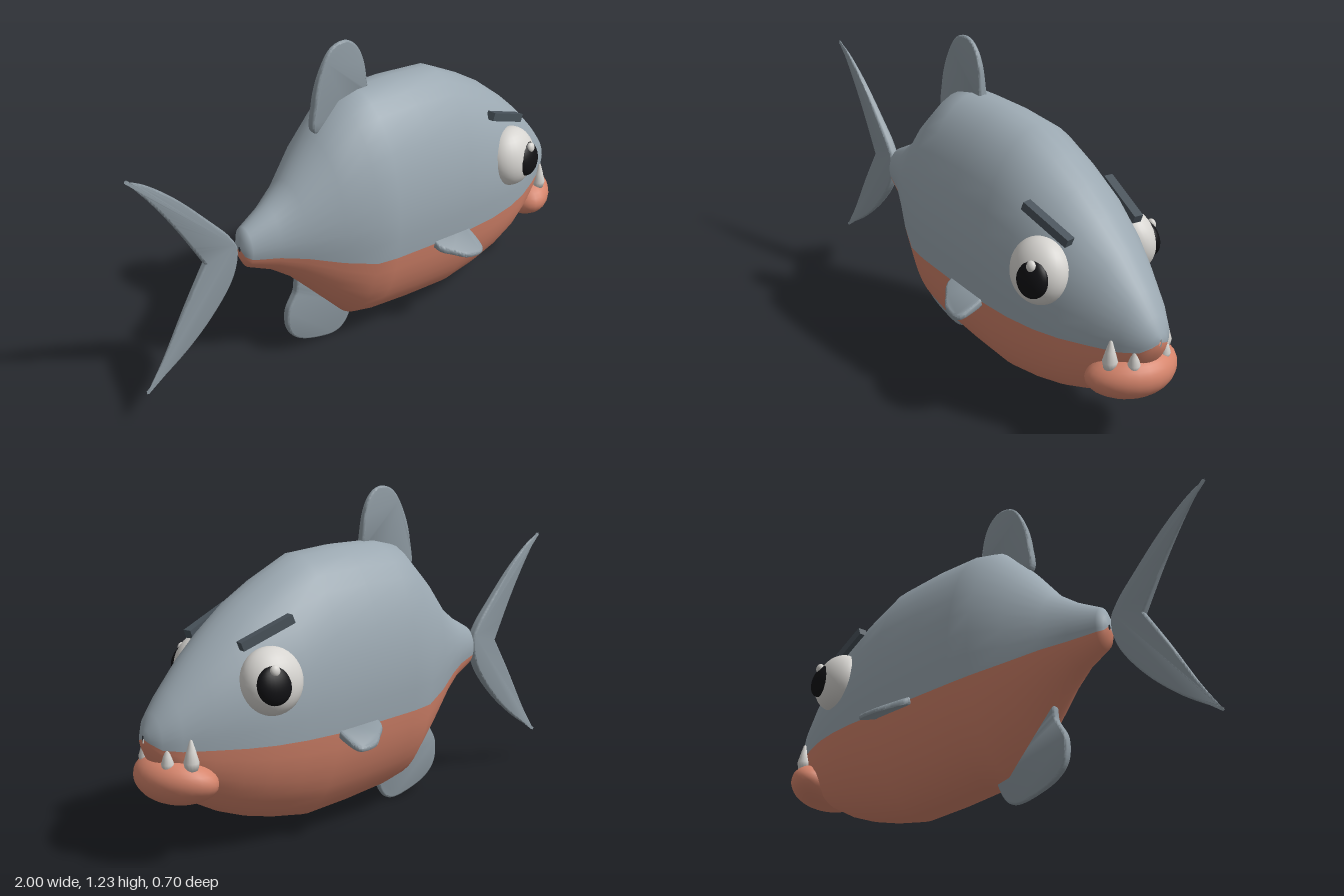
import * as THREE from 'three';
import { toCreasedNormals } from 'three/addons/utils/BufferGeometryUtils.js';

const mat = (color, side = THREE.FrontSide) => new THREE.MeshStandardMaterial({ color, side });
const M = {
  back: mat(0x9ba8b1), belly: mat(0xd5846b), fin: mat(0x8c98a0, THREE.DoubleSide),
  brow: mat(0x48525a), white: mat(0xd6d4d0), black: mat(0x111114),
};

// Body stations: x, bottom, top, half width, height of the colour line
const STATIONS = [
  [-0.572, 0.555, 0.575, 0.006, 0.565], [-0.568, 0.52, 0.61, 0.032, 0.545], [-0.55, 0.485, 0.648, 0.055, 0.535],
  [-0.45, 0.435, 0.70, 0.09, 0.518], [-0.36, 0.365, 0.765, 0.135, 0.498], [-0.24, 0.235, 0.905, 0.2, 0.46],
  [-0.12, 0.105, 1.02, 0.25, 0.43], [-0.03, 0.082, 1.04, 0.259, 0.422], [0.15, 0.06, 1.038, 0.263, 0.412],
  [0.34, 0.045, 1.02, 0.263, 0.402], [0.48, 0.068, 0.95, 0.255, 0.4], [0.6, 0.098, 0.878, 0.235, 0.4],
  [0.7, 0.135, 0.8, 0.205, 0.402], [0.8, 0.188, 0.71, 0.16, 0.405], [0.9, 0.28, 0.6, 0.11, 0.408],
  [0.955, 0.355, 0.53, 0.07, 0.415], [0.98, 0.4, 0.48, 0.035, 0.435], [0.986, 0.43, 0.46, 0.006, 0.445],
];

function add(parent, name, geometry, material) {
  const mesh = new THREE.Mesh(geometry, material);
  mesh.name = name;
  parent.add(mesh);
  return mesh;
}

// Part of the oval body skin above or below the colour line
function skin(upper, sides = 20) {
  const pos = [], index = [];
  for (const [x, lo, hi, w, line] of STATIONS) {
    const c = (lo + hi) / 2, ry = (hi - lo) / 2;
    const a = Math.asin(THREE.MathUtils.clamp((line - c) / ry, -1, 1));
    const from = upper ? a : Math.PI - a;
    const to = upper ? Math.PI - a : Math.PI * 2 + a;
    for (let j = 0; j <= sides; j++) {
      const t = from + (to - from) * j / sides;
      pos.push(x, c + ry * Math.sin(t), w * Math.cos(t));
    }
  }
  const n = sides + 1;
  for (let i = 0; i < STATIONS.length - 1; i++) {
    for (let j = 0; j < sides; j++) {
      const a = i * n + j, b = a + n;
      index.push(a, b, b + 1, a, b + 1, a + 1);
    }
  }
  const g = new THREE.BufferGeometry();
  g.setAttribute('position', new THREE.Float32BufferAttribute(pos, 3));
  g.setIndex(index);
  g.computeVertexNormals();
  return g;
}

// Fin from spline runs; taper(x, y) scales the thickness
function finGeometry(runs, thickness, taper) {
  const shape = new THREE.Shape();
  shape.moveTo(...runs[0][0]);
  runs.forEach((run, i) => {
    const pts = (i ? run : run.slice(1)).map(p => new THREE.Vector2(...p));
    shape.splineThru(pts);
  });
  const bevel = thickness * 0.3;
  const g = new THREE.ExtrudeGeometry(shape, {
    depth: thickness - 2 * bevel, curveSegments: 16, bevelEnabled: true,
    bevelThickness: bevel, bevelSize: 0.007, bevelOffset: -0.007, bevelSegments: 2,
  });
  g.translate(0, 0, -(thickness - 2 * bevel) / 2);
  const p = g.attributes.position;
  for (let i = 0; i < p.count; i++) p.setZ(i, p.getZ(i) * taper(p.getX(i), p.getY(i)));
  return toCreasedNormals(g, 0.8);
}

function ellipsoid(rx, ry, rz) {
  return new THREE.SphereGeometry(1, 28, 18).scale(rx, ry, rz);
}

export function createModel() {
  const fish = new THREE.Group();
  fish.name = 'fish';
  add(fish, 'upperBody', skin(true), M.back);
  add(fish, 'lowerBody', skin(false), M.belly);

  // Fins on the centre line
  const clamp = THREE.MathUtils.clamp;
  add(fish, 'tailFin', finGeometry([
    [[-1, 1], [-0.92, 0.955], [-0.81, 0.86], [-0.69, 0.73], [-0.615, 0.64], [-0.588, 0.57],
      [-0.62, 0.46], [-0.72, 0.335], [-0.85, 0.225], [-1, 0.133]],
    [[-0.92, 0.25], [-0.82, 0.42], [-0.725, 0.57]],
    [[-0.82, 0.74], [-0.91, 0.88], [-1, 1]],
  ], 0.038, x => clamp((x + 1.04) / 0.4, 0.15, 1)), M.fin);
  add(fish, 'dorsalFin', finGeometry([
    [[-0.1, 0.92], [-0.228, 0.92], [-0.226, 1.03], [-0.2, 1.13], [-0.15, 1.215], [-0.085, 1.238],
      [-0.03, 1.21], [0.005, 1.14], [0.022, 1.02]],
    [[-0.1, 0.92]],
  ], 0.034, (x, y) => clamp(1 - (y - 1.04) * 2.8, 0.4, 1)), M.fin);
  add(fish, 'analFin', finGeometry([
    [[-0.1, 0.25], [-0.3, 0.35], [-0.335, 0.275], [-0.375, 0.2], [-0.368, 0.11], [-0.31, 0.05],
      [-0.2, 0.01], [-0.13, 0.006], [-0.085, 0.04], [-0.05, 0.12]],
    [[-0.1, 0.25]],
  ], 0.034, (x, y) => clamp(0.5 + y * 4, 0.5, 1)), M.fin);

  // Bulging lower lip, its ends swept back
  const lip = ellipsoid(0.12, 0.09, 0.182);
  const lp = lip.attributes.position;
  for (let i = 0; i < lp.count; i++) {
    const x = lp.getX(i), z = lp.getZ(i);
    lp.setX(i, x + 0.012 - 1.1 * z * z);
    lp.setY(i, lp.getY(i) + 0.1 * x);
  }
  lip.computeVertexNormals();
  add(fish, 'lowerLip', lip, M.belly).position.set(0.868, 0.293, 0);

  for (const s of [1, -1]) {
    const side = s > 0 ? 'left' : 'right';

    // Eye, turned slightly up and forward
    const eye = new THREE.Group();
    eye.name = side + 'Eye';
    eye.position.set(0.603, 0.622, 0.205 * s);
    eye.rotation.set(-0.2 * s, 0.15 * s, 0);
    fish.add(eye);
    add(eye, 'eyeball', ellipsoid(0.115, 0.119, 0.085), M.white);
    add(eye, 'pupil', ellipsoid(0.066, 0.07, 0.035), M.black).position.set(0.022, -0.012, 0.06 * s);
    add(eye, 'eyeHighlight', ellipsoid(0.018, 0.02, 0.014), M.white).position.set(0.026, 0.036, 0.084 * s);

    // Slanted brow
    const a = new THREE.Vector3(0.498, 0.823, 0.186 * s), b = new THREE.Vector3(0.693, 0.744, 0.154 * s);
    const brow = add(fish, side + 'Brow', new THREE.BoxGeometry(0.034, 0.032, a.distanceTo(b)), M.brow);
    brow.position.copy(a).lerp(b, 0.5);
    brow.lookAt(b);

    // Drooping side fin
    const fin = finGeometry([
      [[0.25, 0.19], [0.165, 0.2], [0.158, 0.27], [0.2, 0.31], [0.245, 0.342], [0.3, 0.35],
        [0.334, 0.335], [0.342, 0.27], [0.335, 0.2]],
      [[0.25, 0.19]],
    ], 0.032, (x, y) => clamp(1 - (y - 0.25) * 4, 0.5, 1));
    fin.rotateX(s * Math.PI / 2);
    const p = fin.attributes.position;
    for (let i = 0; i < p.count; i++) {
      p.setY(i, p.getY(i) + 0.402 - 0.42 * (Math.abs(p.getZ(i)) - 0.25) - 0.06 * (p.getX(i) - 0.25));
    }
    add(fish, side + 'SideFin', toCreasedNormals(fin, 0.8), M.fin);

    // Teeth: one large, one small per side
    for (const [name, x, z, top, r] of [['LargeTooth', 0.88, 0.125, 0.452, 0.027], ['SmallTooth', 0.938, 0.07, 0.428, 0.022]]) {
      const base = 0.345;
      const tooth = new THREE.LatheGeometry([
        [0, 0], [r * 0.8, 0], [r, (top - base) * 0.25], [r * 0.62, (top - base) * 0.6], [r * 0.22, (top - base) * 0.94], [0, top - base],
      ].map(q => new THREE.Vector2(...q)), 14);
      add(fish, side + name, tooth, M.white).position.set(x, base, z * s);
    }
  }
  return fish;
}
